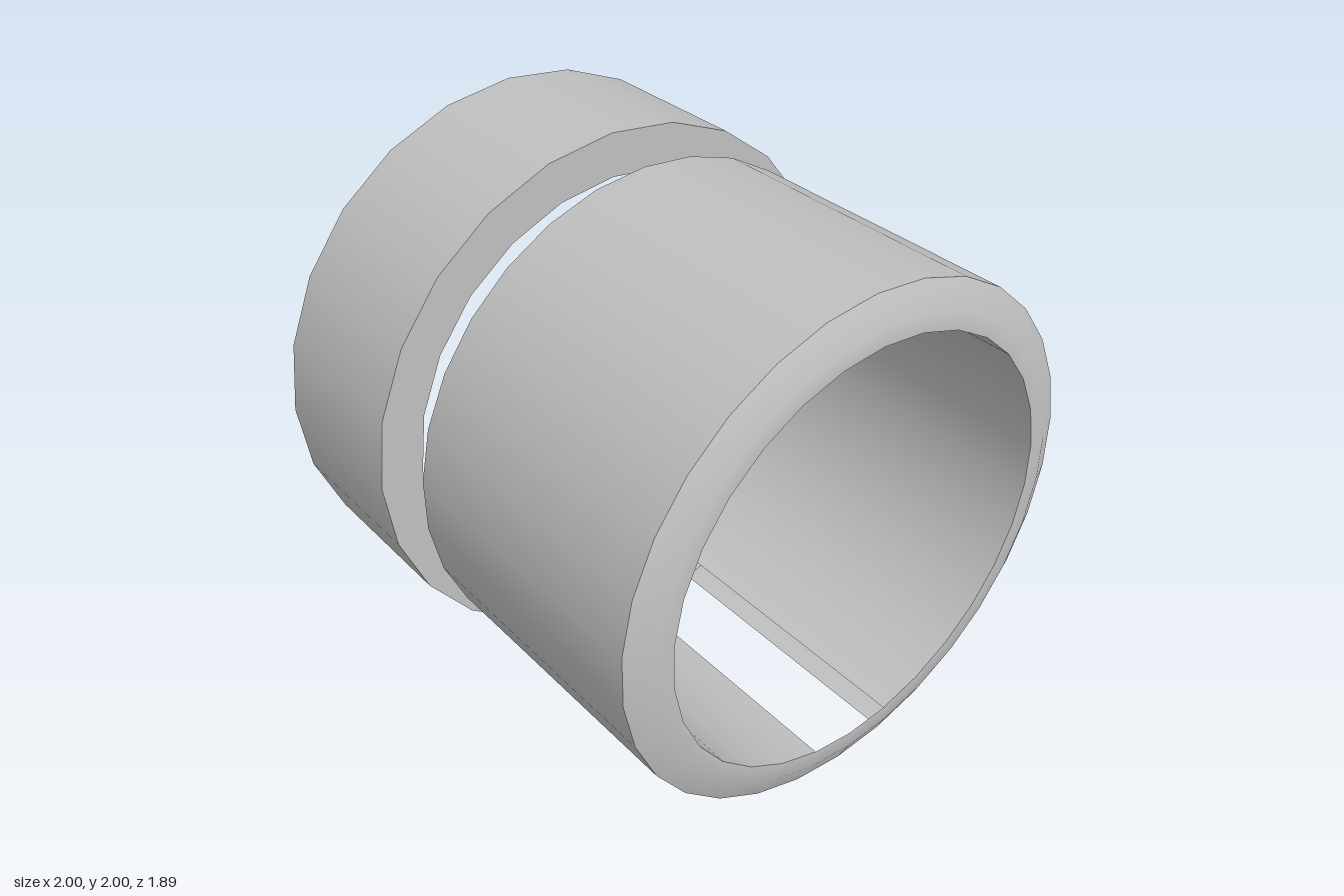
import * as THREE from 'three';

export function createModel() {
  const model = new THREE.Group();
  const steel = new THREE.MeshStandardMaterial({ color: 0xc0c0c0, side: THREE.DoubleSide });
  steel.name = 'grey steel';

  // Revolves a [radius, z] profile about the z axis; angle 0 is the bottom.
  // A slot leaves out the two lowest segments.
  function revolve(name, profile, sides, slot) {
    const step = (Math.PI * 2) / sides;
    const points = profile.map(([r, z]) => new THREE.Vector2(r, z));
    const geometry = slot
      ? new THREE.LatheGeometry(points, sides - 2, step, Math.PI * 2 - 2 * step)
      : new THREE.LatheGeometry(points, sides);
    geometry.rotateX(Math.PI / 2);
    const mesh = new THREE.Mesh(geometry, steel);
    mesh.name = name;
    return mesh;
  }

  // Hollow ring: two slotted walls closed by a full rim at each end
  function ring(name, { sides, outer, inner, back, front, bevelWidth, bevelDepth }) {
    const group = new THREE.Group();
    group.name = name;
    const wallBack = back + bevelDepth;
    const wallFront = front - bevelDepth;
    const frontRim = [[outer, wallFront], [inner, front]];
    const backRim = [[inner, back], [outer, wallBack]];
    if (bevelDepth > 0) {
      frontRim.splice(1, 0, [outer - bevelWidth, front]);
      backRim.splice(1, 0, [outer - bevelWidth, back]);
    }
    group.add(
      revolve('outerWall', [[outer, wallBack], [outer, wallFront]], sides, true),
      revolve('frontRim', frontRim, sides, false),
      revolve('innerWall', [[inner, front], [inner, back]], sides, true),
      revolve('backRim', backRim, sides, false),
    );
    group.position.y = 1;
    return group;
  }

  // Long bevelled sleeve in front, wider plain collar behind
  model.add(
    ring('frontSleeve', {
      sides: 30, outer: 0.94, inner: 0.785, back: -0.21, front: 0.945,
      bevelWidth: 0.092, bevelDepth: 0.046,
    }),
    ring('rearCollar', {
      sides: 24, outer: 1, inner: 0.84, back: -0.945, front: -0.335,
      bevelWidth: 0, bevelDepth: 0,
    }),
  );
  return model;
}
